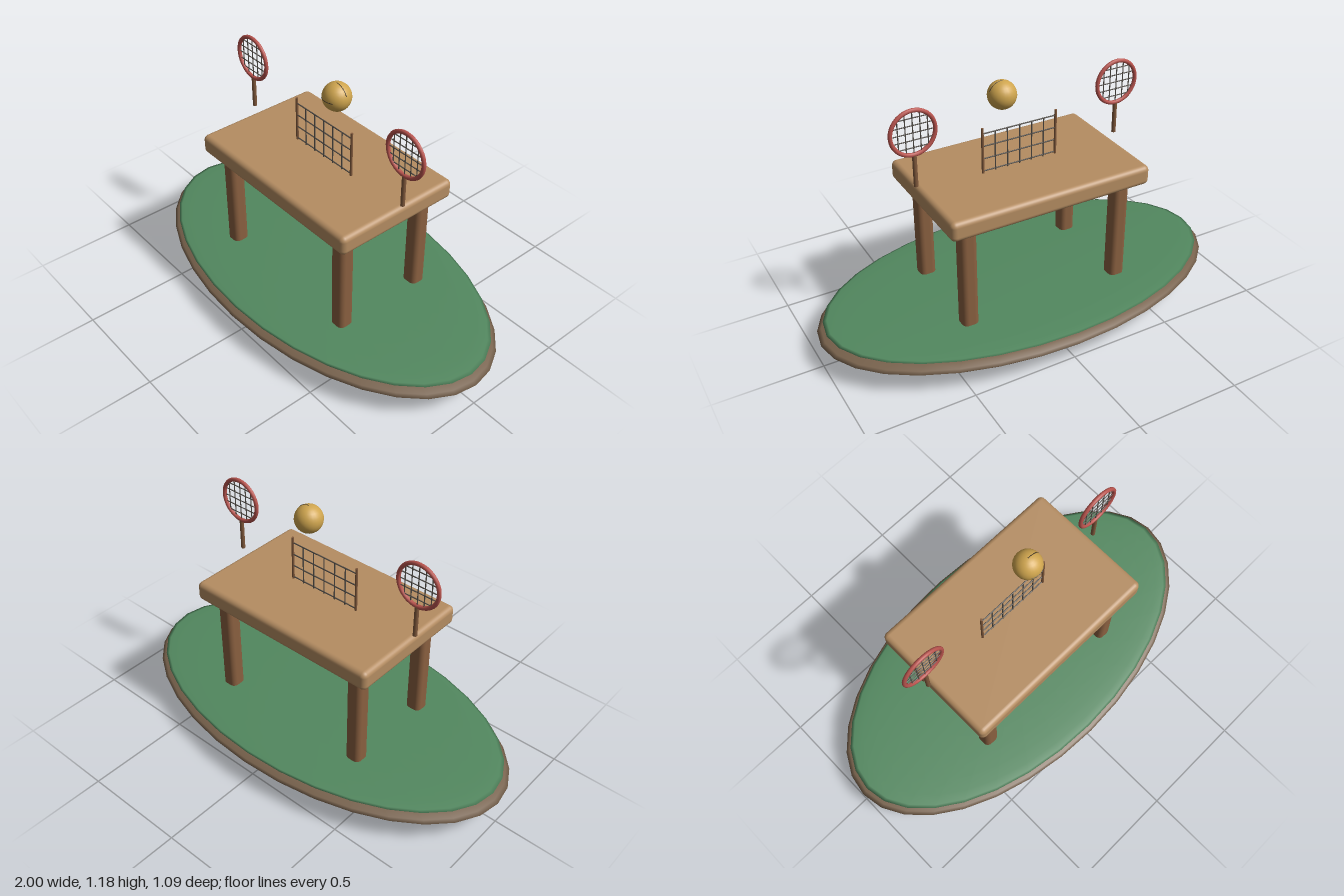
import * as THREE from 'three';
import { RoundedBoxGeometry } from 'three/addons/geometries/RoundedBoxGeometry.js';

const mat = (color) => new THREE.MeshStandardMaterial({ color });
const soil = mat(0x78624c), grass = mat(0x52885f), wood = mat(0xb58d62), legWood = mat(0x8a6040);
const postWood = mat(0x80593c), cord = mat(0x55504a), red = mat(0xb9544e), gold = mat(0xcfa54e), dark = mat(0x3a3024);

function add(parent, name, geometry, material, x = 0, y = 0, z = 0) {
  const mesh = new THREE.Mesh(geometry, material);
  mesh.name = name;
  mesh.position.set(x, y, z);
  parent.add(mesh);
  return mesh;
}

// Upright rod between two heights
function upright(parent, name, r, x, y0, y1, material) {
  return add(parent, name, new THREE.CylinderGeometry(r, r, y1 - y0, 12), material, x, (y0 + y1) / 2);
}

// Rod lying along x, centred on x
function crossbar(parent, name, r, x, y, length, material) {
  const bar = add(parent, name, new THREE.CylinderGeometry(r, r, length, 6), material, x, y);
  bar.rotation.z = Math.PI / 2;
  return bar;
}

function makeRacket(x) {
  const racket = new THREE.Group();
  racket.name = 'racket';
  racket.position.x = x;
  const cy = 1.037, R = 0.102;
  add(racket, 'racketRim', new THREE.TorusGeometry(R, 0.0095, 10, 36), red, 0, cy);
  upright(racket, 'racketHandle', 0.01, 0, 0.783, 0.935, postWood);
  // Strings are cut to the chord of the rim
  for (let i = -2; i <= 2; i++) {
    const d = i * 0.034, half = Math.sqrt(R * R - d * d);
    upright(racket, 'racketString', 0.0025, d, cy - half, cy + half, cord);
    crossbar(racket, 'racketString', 0.0025, 0, cy + d, half * 2, cord);
  }
  return racket;
}

export function createModel() {
  const model = new THREE.Group();
  model.name = 'tableCourt';

  // Oval island: two flattened spheres
  const lens = new THREE.SphereGeometry(1, 32, 16);
  add(model, 'islandBase', lens, soil, 0, 0.113).scale.set(1, 0.056, 0.545);
  add(model, 'grass', lens, grass, 0, 0.157).scale.set(0.97, 0.016, 0.525);

  // Table
  add(model, 'tableTop', new RoundedBoxGeometry(0.984, 0.094, 0.63, 4, 0.025), wood, 0, 0.709);
  for (const sx of [-1, 1]) for (const sz of [-1, 1]) {
    add(model, 'tableLeg', new RoundedBoxGeometry(0.077, 0.668, 0.077, 4, 0.025), legWood, sx * 0.387, 0.334, sz * 0.222);
  }

  // Net with two posts
  const net = new THREE.Group();
  net.name = 'net';
  for (const s of [-1, 1]) upright(net, 'netPost', 0.006, s * 0.184, 0.607, 0.975, postWood);
  for (let i = -2; i <= 2; i++) upright(net, 'netCord', 0.003, i * 0.061, 0.7, 0.949, cord);
  for (let i = 0; i < 4; i++) crossbar(net, 'netCord', 0.003, 0, 0.948 - i * 0.061, 0.368, cord);
  model.add(net);

  // Rackets hovering beside the table
  for (const s of [-1, 1]) model.add(makeRacket(s * 0.504));

  // Ball with two short seams
  const ball = new THREE.Group();
  ball.name = 'ball';
  ball.position.set(0.086, 1.112, 0);
  add(ball, 'ballBody', new THREE.SphereGeometry(0.065, 24, 16), gold);
  const seam = new THREE.TorusGeometry(0.0645, 0.0018, 6, 16, 1.2);
  const frontSeam = add(ball, 'frontSeam', seam, dark);
  frontSeam.rotation.set(Math.PI / 2, 0, Math.PI / 2 - 0.6);
  add(ball, 'sideSeam', seam, dark).rotation.z = 0.4;
  model.add(ball);

  return model;
}
